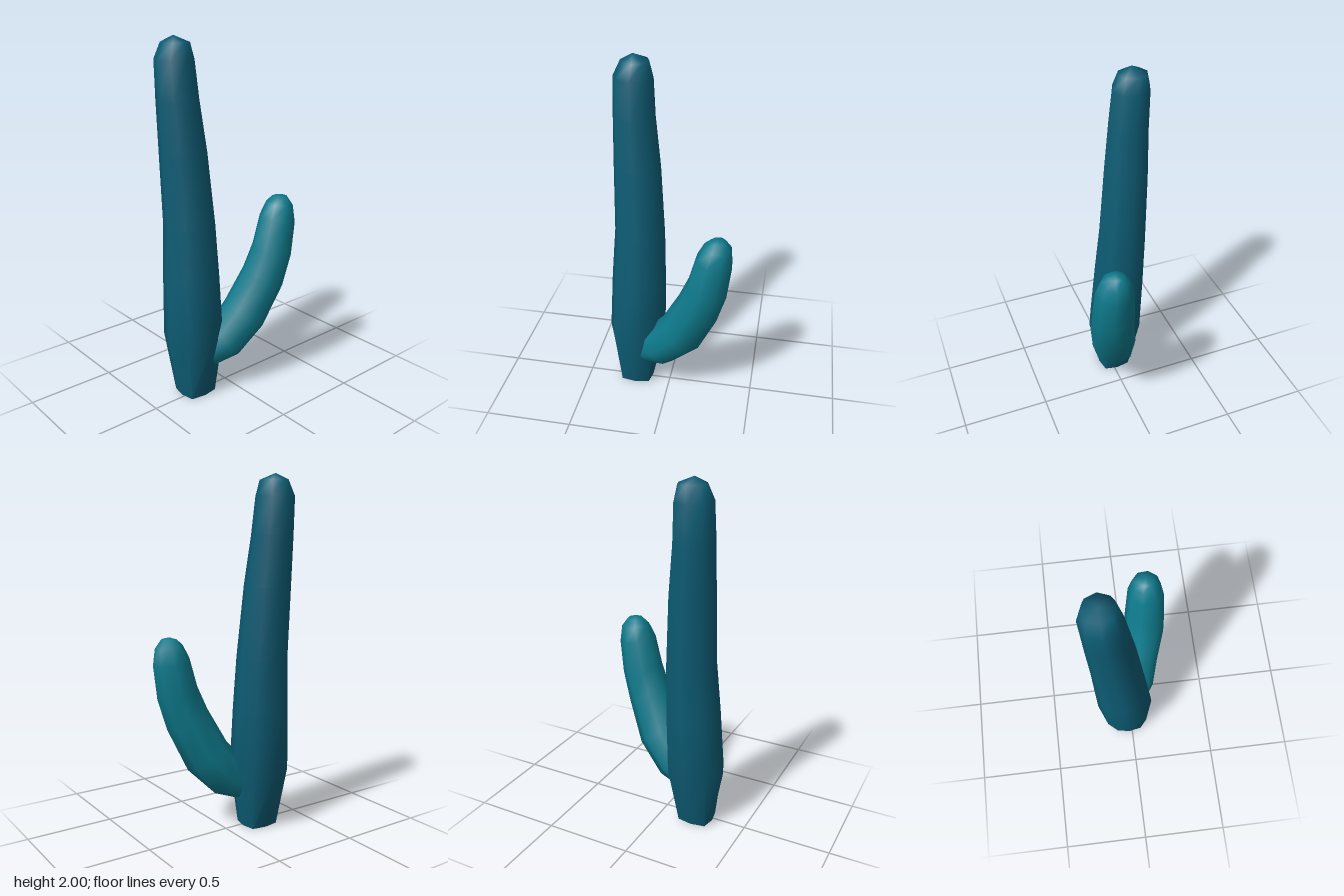
import * as THREE from 'three';
import { toCreasedNormals } from 'three/addons/utils/BufferGeometryUtils.js';

const SIDES = 8;

// Skins eight-sided rings [x, y, z, rx, rz, diagonal factor] and closes both ends.
// Rings lie across the path, or stay level when `level` is set.
function loft(rings, tip, side, level) {
  const centres = rings.map(([x, y, z]) => new THREE.Vector3(x, y, z));
  const pos = [];
  const index = [];
  rings.forEach(([, , , rx, rz, diagonal = 1], i) => {
    const before = centres[Math.max(i - 1, 0)];
    const after = centres[Math.min(i + 1, centres.length - 1)];
    const along = level ? new THREE.Vector3(0, 1, 0) : after.clone().sub(before).normalize();
    const u = side.clone().addScaledVector(along, -side.dot(along)).normalize();
    const v = along.clone().cross(u);
    for (let j = 0; j < SIDES; j++) {
      const a = (j / SIDES) * Math.PI * 2;
      const k = j % 2 ? diagonal : 1;
      const p = centres[i].clone()
        .addScaledVector(u, Math.cos(a) * rz * k)
        .addScaledVector(v, Math.sin(a) * rx * k);
      pos.push(p.x, p.y, p.z);
    }
  });
  const last = (rings.length - 1) * SIDES;
  const base = rings.length * SIDES;
  pos.push(...centres[0].toArray(), ...tip);
  for (let j = 0; j < SIDES; j++) {
    const n = (j + 1) % SIDES;
    for (let i = 0; i < last; i += SIDES) {
      index.push(i + j, i + n, i + SIDES + n, i + j, i + SIDES + n, i + SIDES + j);
    }
    index.push(base, n, j, base + 1, last + j, last + n);
  }
  const geometry = new THREE.BufferGeometry();
  geometry.setAttribute('position', new THREE.Float32BufferAttribute(pos, 3));
  geometry.setIndex(index);
  return toCreasedNormals(geometry, 1.1);
}

function part(name, geometry, color) {
  const mesh = new THREE.Mesh(geometry, new THREE.MeshStandardMaterial({ color }));
  mesh.name = name;
  return mesh;
}

export function createModel() {
  const group = new THREE.Group();
  group.name = 'cactus';

  // Main stem: squarish foot, widest low down, leaning back as it tapers
  const stem = loft([
    [-0.207, 0.0, -0.02, 0.098, 0.091, 1.2],
    [-0.203, 0.35, -0.037, 0.169, 0.168],
    [-0.195, 0.7, -0.06, 0.16, 0.155],
    [-0.188, 1.0, -0.08, 0.145, 0.142],
    [-0.201, 1.4, -0.107, 0.132, 0.128],
    [-0.216, 1.68, -0.127, 0.116, 0.114],
    [-0.22, 1.88, -0.143, 0.108, 0.104],
    [-0.21, 1.965, -0.145, 0.076, 0.08],
  ], [-0.22, 2, -0.145], new THREE.Vector3(0, 0, 1), true);
  group.add(part('stem', stem, 0x0d5c74));

  // Side arm: grows out of the stem to the left and front, then curves upward
  const arm = loft([
    [-0.15, 0.22, 0.01, 0.08, 0.08],
    [-0.05, 0.295, 0.04, 0.127, 0.122],
    [0.078, 0.435, 0.075, 0.137, 0.127],
    [0.18, 0.655, 0.122, 0.128, 0.123],
    [0.234, 0.81, 0.135, 0.118, 0.116],
    [0.268, 0.99, 0.14, 0.104, 0.105],
    [0.283, 1.075, 0.14, 0.078, 0.08],
    [0.283, 1.115, 0.14, 0.043, 0.045],
  ], [0.28, 1.127, 0.14], new THREE.Vector3(-0.3, 0, 0.95), false);
  group.add(part('sideArm', arm, 0x0e7a8c));

  return group;
}
